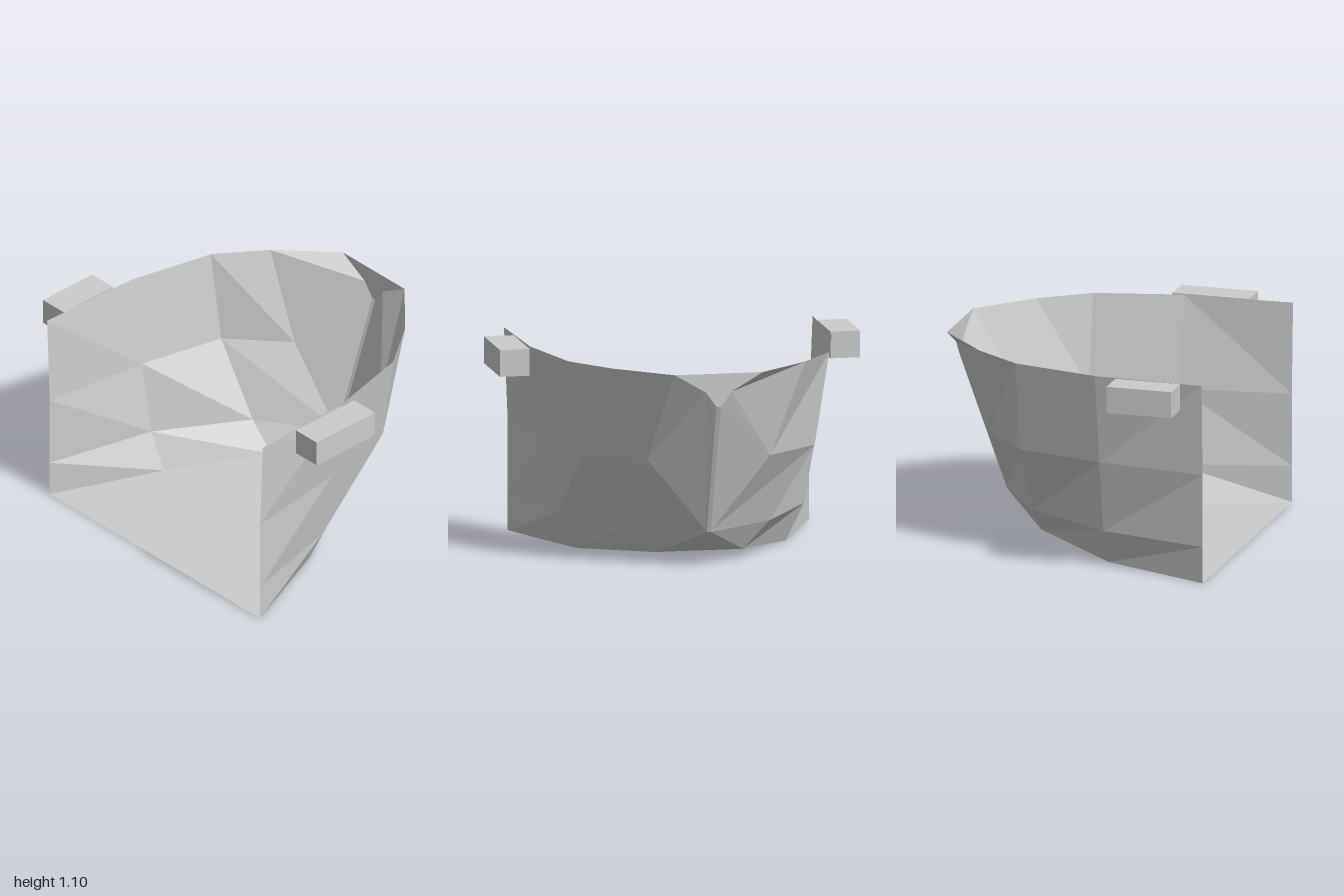
import * as THREE from 'three';

// Hull stations from the open end to the bow, +x side.
// Each lists [x, y, z] from the bottom edge up to the rim.
const stations = [
  [[0.82, 0, 0.8], [0.82, 0.2, 0.8], [0.82, 0.6, 0.8], [0.84, 1.1, 0.8]],
  [[0.57, 0, 0.2], [0.67, 0.2, 0.2], [0.74, 0.6, 0.2], [0.82, 1.1, 0.2]],
  [[0.24, 0.05, -0.275], [0.385, 0.2, -0.275], [0.63, 0.6, -0.275], [0.71, 1.1, -0.275]],
  [[0.012, 0.195, -0.535], [0.02, 0.21, -0.535], [0.335, 0.6, -0.535], [0.525, 1.1, -0.535]],
  [[0.012, 0.92, -0.8], [0.02, 0.93, -0.8], [0.07, 1.0, -0.8], [0.24, 1.1, -0.8]],
];

const mirror = (line) => line.map(([x, y, z]) => [-x, y, z]);
const row = (j, count = stations.length) => stations.slice(0, count).map((s) => s[j]);

// Joins pairs of equally long point lines with flat quads
function loft(name, pairs, material) {
  const positions = [];
  for (const [a, b] of pairs) {
    for (let i = 0; i < a.length - 1; i++) {
      for (const p of [a[i], a[i + 1], b[i + 1], a[i], b[i + 1], b[i]]) positions.push(...p);
    }
  }
  const geometry = new THREE.BufferGeometry();
  geometry.setAttribute('position', new THREE.Float32BufferAttribute(positions, 3));
  geometry.computeVertexNormals();
  const mesh = new THREE.Mesh(geometry, material);
  mesh.name = name;
  return mesh;
}

export function createModel() {
  const model = new THREE.Group();
  model.name = 'bowSection';
  const grey = new THREE.MeshStandardMaterial({ color: 0xcccccc, flatShading: true, side: THREE.DoubleSide });
  grey.name = 'plain grey';

  // Faceted side walls
  const leftPairs = [0, 1, 2].map((j) => [row(j), row(j + 1)]);
  const rightPairs = leftPairs.map(([a, b]) => [mirror(b), mirror(a)]);
  model.add(loft('leftWall', leftPairs, grey), loft('rightWall', rightPairs, grey));

  // Floor, rising towards the bow
  const keel = row(0, 4);
  model.add(loft('floor', [[mirror(keel), keel]], grey));

  // Narrow stem strip and the triangular bow plate above it
  const stem = [stations[3][0], stations[4][0]];
  model.add(loft('stem', [[mirror(stem), stem]], grey));
  model.add(loft('bowPlate', [[mirror(stations[4]), stations[4]]], grey));

  // Rim blocks, staggered along the sides
  for (const [name, x, z, depth] of [['leftBlock', 0.919, 0.343, 0.425], ['rightBlock', -0.919, 0.5, 0.36]]) {
    const block = new THREE.Mesh(new THREE.BoxGeometry(0.162, 0.145, depth), grey);
    block.name = name;
    block.position.set(x, 1.0275, z);
    model.add(block);
  }
  return model;
}
